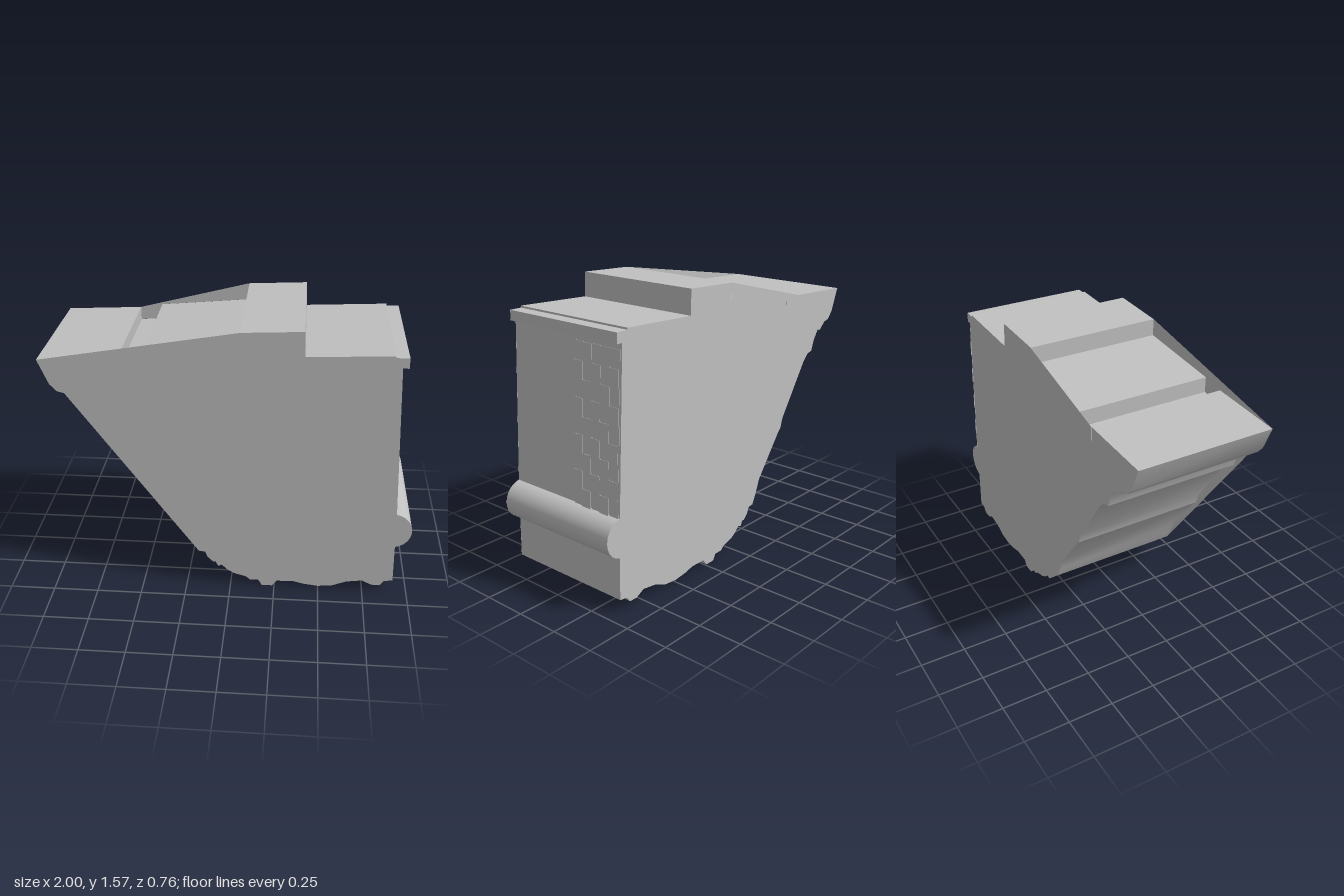
import * as THREE from 'three';
import { toCreasedNormals } from 'three/addons/utils/BufferGeometryUtils.js';

export function createModel() {
  const group = new THREE.Group();
  const stone = new THREE.MeshStandardMaterial({ color: 0xc0c0c0, side: THREE.DoubleSide });
  stone.name = 'light grey';
  const half = 0.378;

  const add = (name, geometry, z = 0) => {
    const mesh = new THREE.Mesh(geometry, stone);
    mesh.name = name;
    mesh.position.z = z;
    group.add(mesh);
    return mesh;
  };
  const shapeOf = (points) => new THREE.Shape(points.map(([x, y]) => new THREE.Vector2(x, y)));

  // Moulded underside, from the left foot of the slope to the lower right corner
  const underside = [
    [-0.18, 0.22], [-0.145, 0.215], [-0.13, 0.18], [-0.1, 0.15], [-0.085, 0.15],
    [-0.07, 0.12], [-0.05, 0.13], [-0.02, 0.1], [0.02, 0.075], [0.09, 0.055],
    [0.11, 0.035], [0.16, 0.035], [0.18, 0], [0.24, 0], [0.265, 0.035],
    [0.36, 0.037], [0.42, 0.022], [0.5, 0.012], [0.58, 0.02], [0.66, 0.052],
    [0.75, 0.065], [0.8, 0.038], [0.85, 0.038], [0.872, 0.068], [0.92, 0.075],
  ];

  // Half-round roll on the right-hand end
  const roll = [];
  for (let i = 0; i <= 24; i++) {
    const a = THREE.MathUtils.lerp(-1.38, 1.42, i / 24);
    roll.push([0.893 + 0.107 * Math.cos(a), 0.41 + 0.107 * Math.sin(a)]);
  }

  // Right wall, cap lip and upper step
  const rightAndTop = [
    [0.915, 0.305], ...roll, [0.868, 1.385], [0.9, 1.385], [0.9, 1.44],
    [0.83, 1.44], [0.83, 1.45], [0.38, 1.43], [0.375, 1.565], [0.05, 1.55],
  ];
  const nose = [[-1, 1.37], [-0.945, 1.235], [-0.91, 1.195], [-0.87, 1.185]];

  // Stepped treads across the top, and shallow mouldings along the slope
  const treads = [[0.05, 1.455], [-0.455, 1.41], [-0.455, 1.325], [-0.58, 1.315], [-0.58, 1.39]];
  const slope = [
    [-0.82, 1.14], [-0.8, 1.15], [-0.76, 1.09], [-0.74, 1.03], [-0.7, 1.02],
    [-0.66, 0.98], [-0.46, 0.68], [-0.44, 0.62], [-0.42, 0.6], [-0.24, 0.36], [-0.21, 0.28],
  ];
  const body = new THREE.ExtrudeGeometry(
    shapeOf([...nose, ...slope, ...underside, ...rightAndTop, ...treads]),
    { depth: 2 * half - 0.002, bevelEnabled: false },
  );
  add('mouldedBody', toCreasedNormals(body, 0.45), -half + 0.001);

  // Plain front cheek bridges the treads and the slope
  add('frontCheek', new THREE.ShapeGeometry(
    shapeOf([...nose, ...underside, ...rightAndTop])), half);

  // Back cheek follows the slope and closes the tread recess
  add('backCheek', new THREE.ShapeGeometry(
    shapeOf([[-0.58, 1.39], [-0.58, 1.315], [-0.455, 1.325], [-0.455, 1.41],
      [0.05, 1.455], [0.05, 1.55]])), -half);

  // Thin staggered tiles on the back part of the right wall
  const rows = 9, columns = 5, y0 = 0.517, y1 = 1.355, z0 = -0.375, z1 = -0.07;
  const tileHeight = (y1 - y0) / rows, tileWidth = (z1 - z0) / columns;
  const tiles = new THREE.Group();
  tiles.name = 'wallTiles';
  const tileGeometry = new THREE.BoxGeometry(0.002, tileHeight, tileWidth);
  for (let r = 0; r < rows; r++) {
    for (let c = 0; c < columns; c++) {
      const tile = new THREE.Mesh(tileGeometry, stone);
      const y = y0 + (r + 0.5) * tileHeight;
      tile.name = 'wallTile';
      tile.position.set(
        0.91 - 0.046 * (y - 0.517) + ((r + c) % 2 ? 0.016 : 0.008),
        y, z0 + (c + 0.5) * tileWidth);
      tile.rotation.z = 0.046;
      tiles.add(tile);
    }
  }
  group.add(tiles);
  return group;
}
